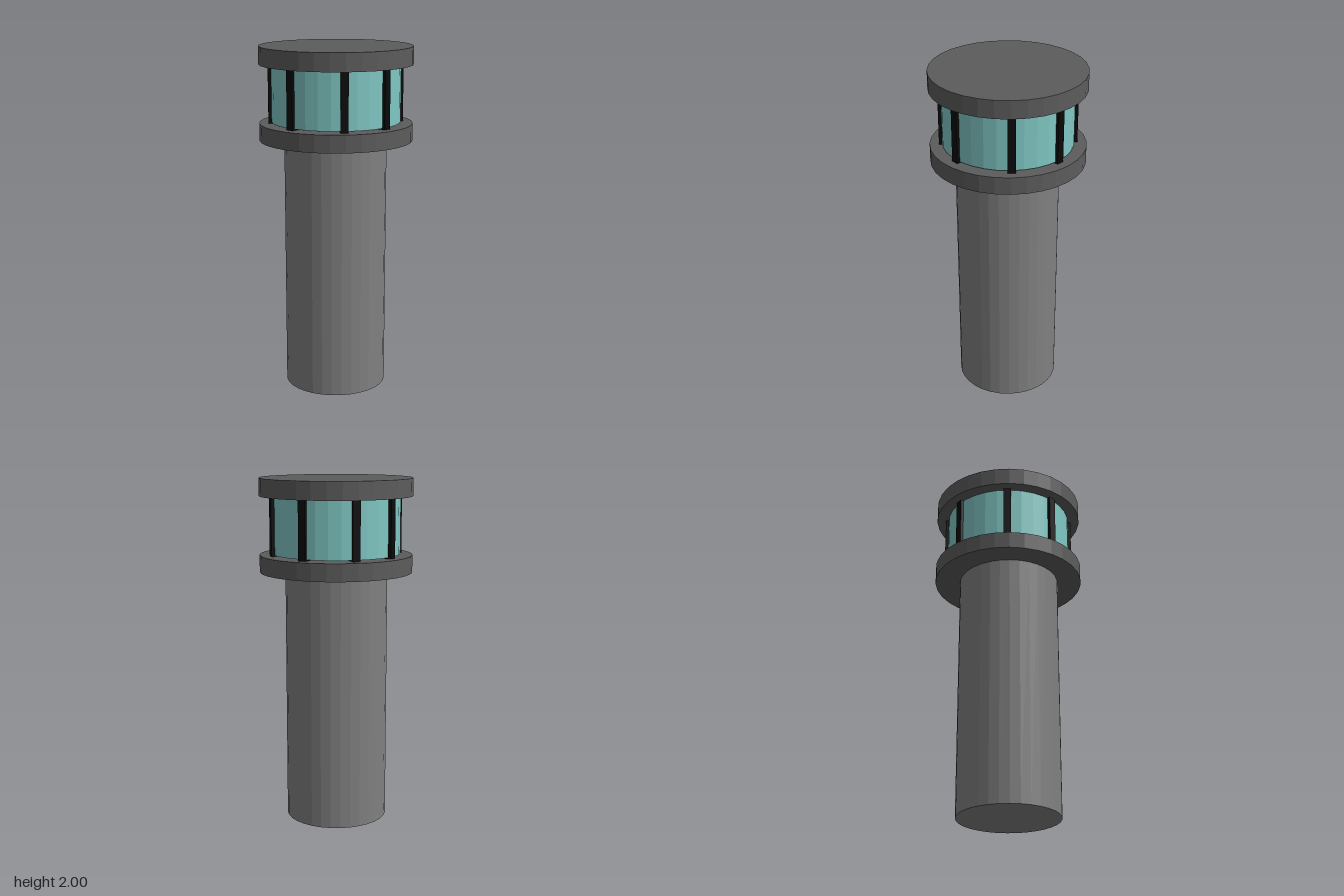
import * as THREE from 'three';

const SIDES = 32;

function material(color) {
  return new THREE.MeshStandardMaterial({ color, flatShading: true });
}

// Upright drum between two heights
function drum(name, radius, bottom, top, mat) {
  const geometry = new THREE.CylinderGeometry(radius, radius, top - bottom, SIDES);
  const mesh = new THREE.Mesh(geometry, mat);
  mesh.name = name;
  mesh.position.y = (bottom + top) / 2;
  return mesh;
}

export function createModel() {
  const model = new THREE.Group();
  model.name = 'tower';

  const concrete = material(0x808080);
  const slab = material(0x5c5c5c);
  const glass = material(0x80c8c4);
  const frame = material(0x0a0a0a);

  // Shaft, floor slab and roof slab
  const shaft = drum('shaft', 0.295, 0, 1.463, concrete);
  shaft.position.z = 0.005;
  model.add(shaft);
  model.add(drum('floorSlab', 0.44, 1.463, 1.563, slab));
  model.add(drum('roofSlab', 0.44, 1.897, 2, slab));

  // Glazed cabin, just clear of the floor
  model.add(drum('cabinGlass', 0.37, 1.57, 1.897, glass));

  // Window posts around the glass, turned slightly off the axes
  const posts = new THREE.Group();
  posts.name = 'windowPosts';
  const postGeometry = new THREE.BoxGeometry(0.043, 0.334, 0.07);
  // angle from the front towards +x, in degrees
  const angles = [-3, 45, 85, 136, 180, 226, 264, 313];
  for (const degrees of angles) {
    const a = THREE.MathUtils.degToRad(degrees);
    const post = new THREE.Mesh(postGeometry, frame);
    post.name = 'windowPost';
    post.position.set(Math.sin(a) * 0.352, 1.73, Math.cos(a) * 0.352);
    post.rotation.y = a;
    posts.add(post);
  }
  model.add(posts);

  return model;
}
